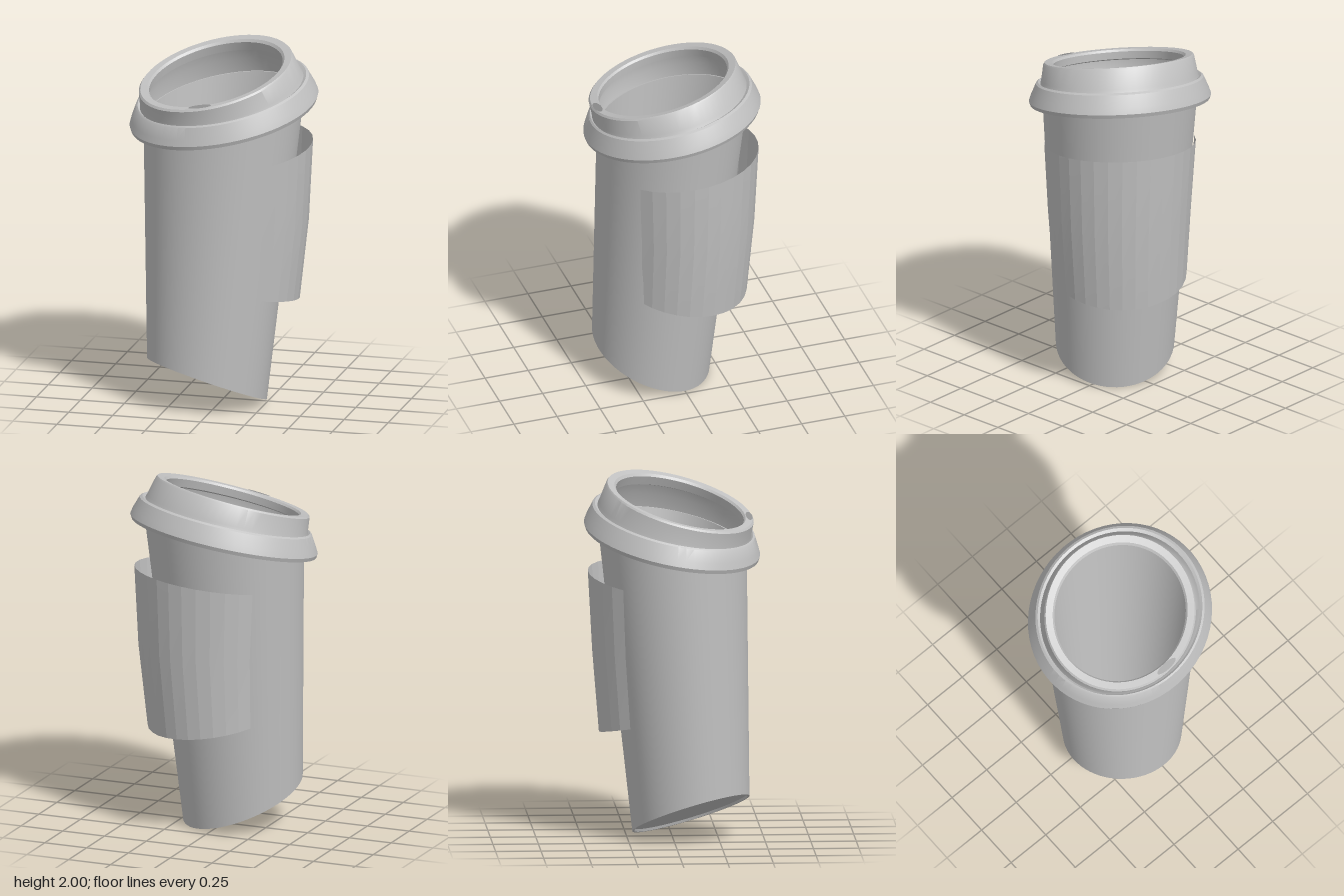
import * as THREE from 'three';
import { toCreasedNormals } from 'three/addons/utils/BufferGeometryUtils.js';

// Skins a list of tilted elliptical rings.
// Ring: [centreX, centreZ, radiusX, radiusZ, centreY, slopeX, slopeZ]
function loft(rings, sides, crease, start = 0, sweep = Math.PI * 2) {
  const pos = [], index = [], row = sides + 1;
  for (const [cx, cz, rx, rz, y, a, b] of rings) {
    for (let i = 0; i <= sides; i++) {
      const t = start + sweep * i / sides;
      const dx = rx * Math.cos(t), dz = rz * Math.sin(t);
      pos.push(cx + dx, y + a * dx + b * dz, cz + dz);
    }
  }
  for (let j = 0; j < rings.length - 1; j++) {
    for (let i = 0; i < sides; i++) {
      const p = j * row + i, q = p + row;
      if (rings[j][2] > 0) index.push(p, q, p + 1);
      if (rings[j + 1][2] > 0) index.push(p + 1, q, q + 1);
    }
  }
  const g = new THREE.BufferGeometry();
  g.setAttribute('position', new THREE.Float32BufferAttribute(pos, 3));
  g.setIndex(index);
  return toCreasedNormals(g, crease);
}

export function createModel() {
  const group = new THREE.Group();
  const grey = new THREE.MeshStandardMaterial({ color: 0xc0c0c0, side: THREE.DoubleSide });
  grey.name = 'grey';
  const darkGrey = new THREE.MeshStandardMaterial({ color: 0x929292, side: THREE.DoubleSide });
  darkGrey.name = 'dark grey';

  function add(name, geometry, material = grey) {
    const mesh = new THREE.Mesh(geometry, material);
    mesh.name = name;
    group.add(mesh);
  }

  // Cup: straight walls between two planes that tilt opposite ways
  const base = (r, y) => [-0.07, 0.1, r * 1.01, r * 0.985, y, -0.29, 0.29];
  const mouth = (r, y) => [0, 0, r * 1.04, r * 0.96, y, 0.16, -0.19];
  add('cup', loft([
    base(0, 0.15), base(0.312, 0.15), base(0.316, 0.136), base(0.327, 0.136),
    mouth(0.428, 1.68), mouth(0.415, 1.68), base(0.308, 0.17), base(0, 0.17),
  ], 64, 0.5));

  // Sleeve: bulges away from the cup on the long side and sinks into it on the other
  const half = THREE.MathUtils.degToRad(100);
  add('sleeve', loft([
    [0.04, -0.035, 0.37, 0.365, 0.63, -0.12, 0.14],
    [0.058, -0.048, 0.4, 0.388, 1.03, 0, 0],
    [0.055, -0.05, 0.425, 0.41, 1.425, 0.1, -0.11],
  ], 18, 0.12, -Math.PI / 4 - half, half * 2));

  // Lid: flared flange, raised collar and open drinking rim.
  // k moves from the flange (0) to the rim (1)
  const lidRing = (r, y, k) => [
    -0.035 * k, 0.042 * k, r * (1.038 - 0.015 * k), r * (0.965 + 0.01 * k),
    y, 0.155 + 0.03 * k, -0.18 - 0.07 * k,
  ];
  add('lid', loft([
    lidRing(0.43, 1.66, 0),
    lidRing(0.445, 1.64, 0),
    lidRing(0.495, 1.638, 0),
    lidRing(0.502, 1.66, 0),
    lidRing(0.49, 1.695, 0.05),
    lidRing(0.462, 1.76, 0.2),
    lidRing(0.45, 1.768, 0.25),
    lidRing(0.437, 1.758, 0.3),
    lidRing(0.432, 1.775, 0.4),
    lidRing(0.416, 1.862, 1),
    lidRing(0.408, 1.872, 1),
    lidRing(0.37, 1.868, 1),
    lidRing(0.36, 1.855, 1),
    lidRing(0.37, 1.81, 0.8),
    lidRing(0.4, 1.8, 0.7),
    lidRing(0.415, 1.75, 0.4),
    lidRing(0.42, 1.68, 0),
  ], 64, 0.5));

  // Sip slot: thin plate lying on the rim
  const slot = (r) => [-0.025, 0.423, 0.065 * r, 0.019 * r, 1.782, 0.18, -0.25];
  add('sipSlot', loft([slot(1), slot(0)], 20, 0.5), darkGrey);

  return group;
}
